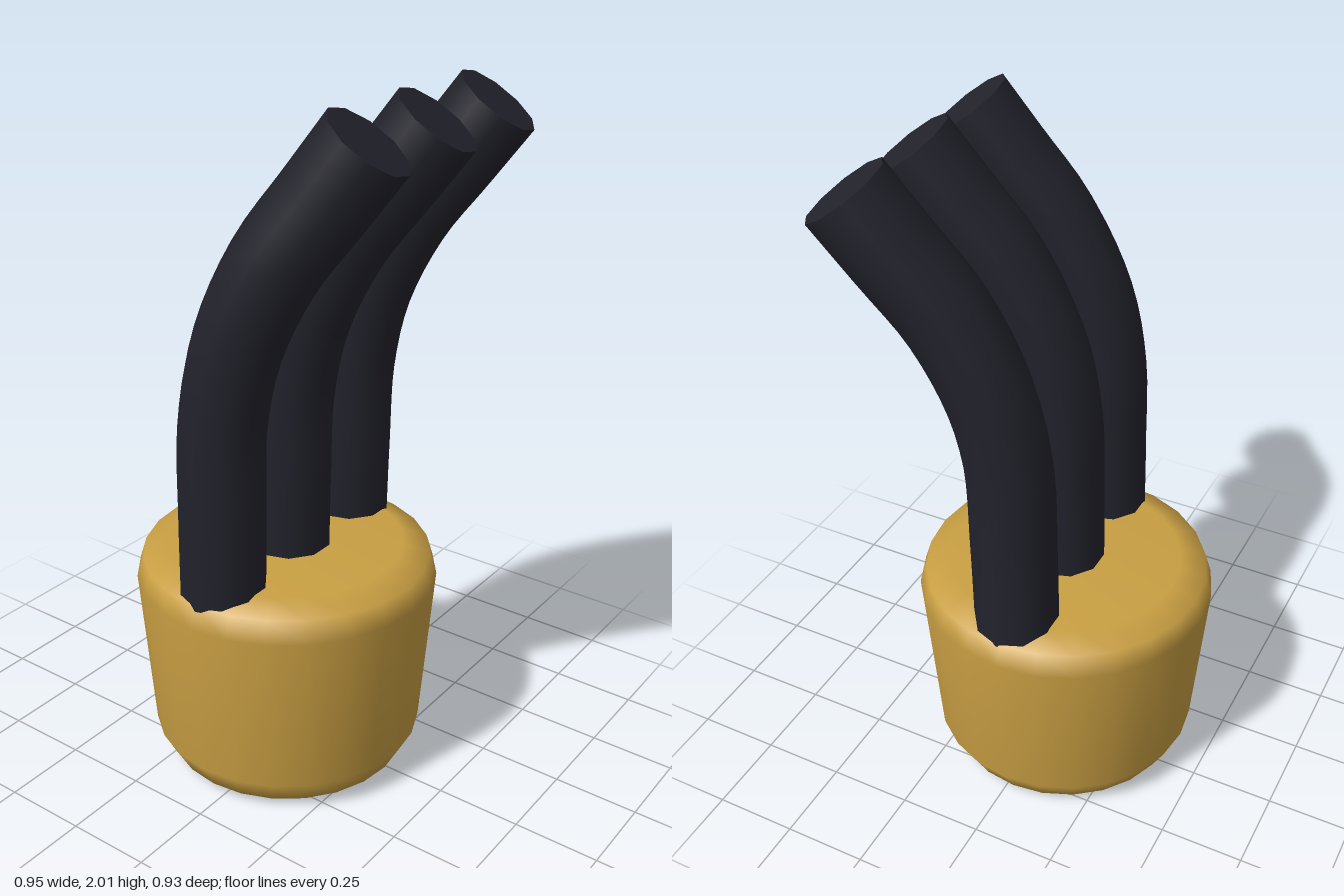
import * as THREE from 'three';

const SIDES = 10, STEPS = 24;

// Flat disc closing one end of a tube, made from that end's ring of vertices
function endCap(tube, step, center) {
  const p = tube.attributes.position;
  const ring = (i) => new THREE.Vector3().fromBufferAttribute(p, step * (SIDES + 1) + i);
  const points = [];
  for (let i = 0; i < SIDES; i++) {
    const a = ring(i), b = ring(i + 1);
    points.push(center, ...(step === 0 ? [a, b] : [b, a]));
  }
  const cap = new THREE.BufferGeometry().setFromPoints(points);
  cap.computeVertexNormals();
  return cap;
}

export function createModel() {
  const model = new THREE.Group();
  const gold = new THREE.MeshStandardMaterial({ color: 0xc99f43 });
  gold.name = 'gold';
  const black = new THREE.MeshStandardMaterial({ color: 0x22222c });
  black.name = 'black';

  // Tapered base with rounded rims
  const profile = [
    [0, 0], [0.29, 0.004], [0.36, 0.03], [0.4, 0.105],
    [0.438, 0.6], [0.418, 0.665], [0.34, 0.692], [0, 0.694],
  ].map(([r, y]) => new THREE.Vector2(r, y));
  const base = new THREE.Mesh(new THREE.LatheGeometry(profile, 24), gold);
  base.name = 'base';
  base.position.set(-0.04, 0, -0.032);
  model.add(base);

  // Three bent rods, side by side, leaning forward at the top
  const path = new THREE.CatmullRomCurve3([
    [-0.042, 0.655, -0.022], [-0.05, 0.92, -0.012], [-0.053, 1.18, 0.0],
    [-0.045, 1.4, 0.045], [-0.02, 1.62, 0.145], [0.02, 1.79, 0.262], [0.055, 1.94, 0.366],
  ].map((p) => new THREE.Vector3(...p)));
  const tube = new THREE.TubeGeometry(path, STEPS, 0.122, SIDES);
  const bottomCap = endCap(tube, 0, path.getPoint(0));
  const topCap = endCap(tube, STEPS, path.getPoint(1));
  ['right', 'middle', 'left'].forEach((side, i) => {
    const rod = new THREE.Group();
    rod.name = side + 'Rod';
    const parts = { shaft: tube, bottomCap, topCap };
    for (const [name, geometry] of Object.entries(parts)) {
      const mesh = new THREE.Mesh(geometry, black);
      mesh.name = name;
      rod.add(mesh);
    }
    rod.position.x = (i - 1) * 0.3;
    model.add(rod);
  });
  return model;
}
